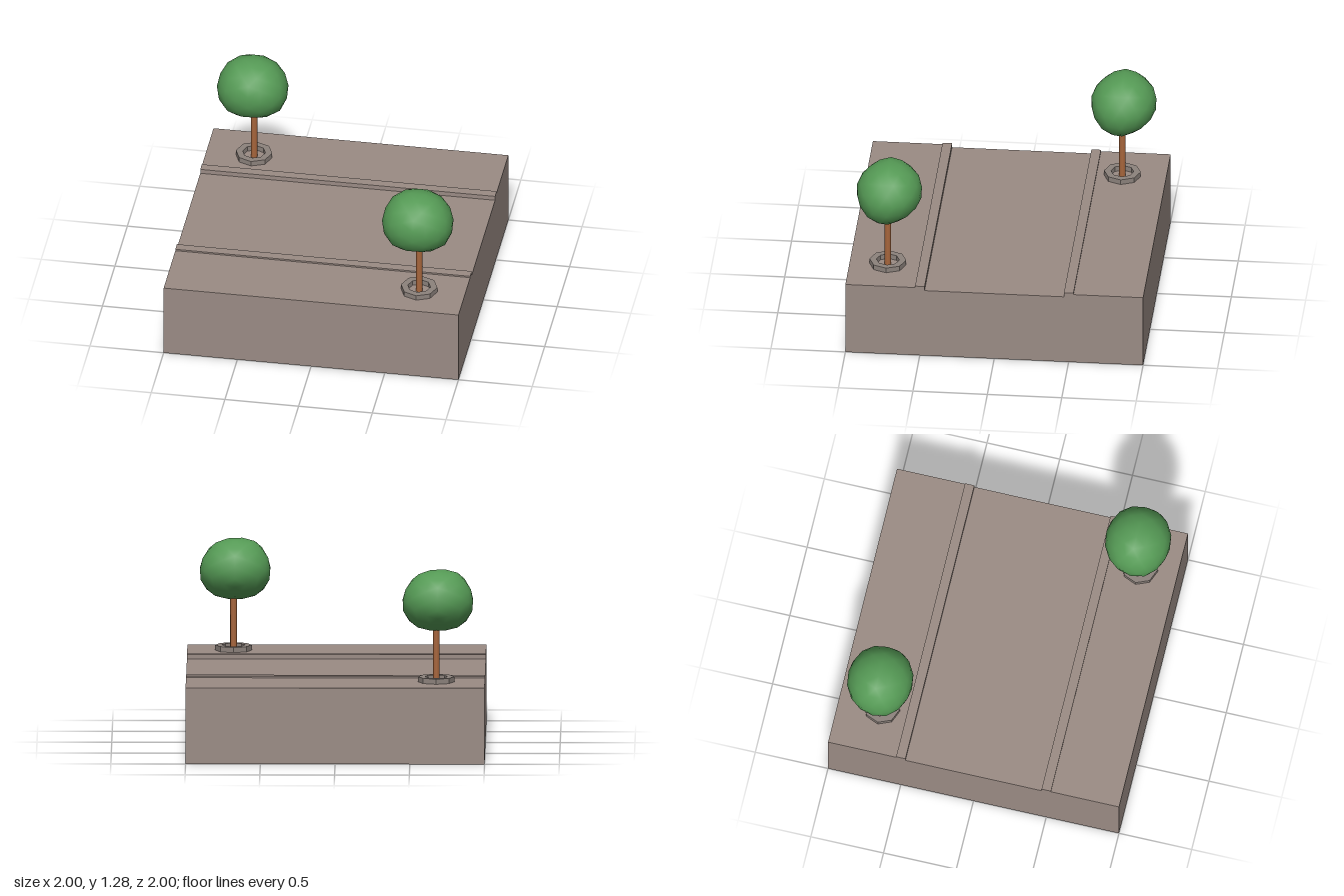
import * as THREE from 'three';
import { mergeVertices } from 'three/addons/utils/BufferGeometryUtils.js';

const paving = new THREE.MeshStandardMaterial({ color: 0x9a8b84, side: THREE.DoubleSide });
paving.name = 'paving';
const stone = new THREE.MeshStandardMaterial({ color: 0x8c827c });
stone.name = 'planter stone';
const bark = new THREE.MeshStandardMaterial({ color: 0xa8663c });
bark.name = 'bark';
const leaf = new THREE.MeshStandardMaterial({ color: 0x559a55 });
leaf.name = 'leaf';

const WALK = 0.515;

function named(name, geometry, material) {
  const mesh = new THREE.Mesh(geometry, material);
  mesh.name = name;
  return mesh;
}

// Block section as [z, y]: wall, pavement, kerb, road and the same mirrored
const half = [[1, 0], [1, WALK], [0.532, WALK], [0.532, 0.526], [0.468, 0.526], [0.468, 0.495]];
const section = [...half, ...half.map(([z, y]) => [-z, y]).reverse()];

// Hollow block, open underneath
function createBlock() {
  const block = new THREE.Group();
  block.name = 'streetBlock';
  const pos = [];
  for (let i = 0; i < section.length - 1; i++) {
    const [z0, y0] = section[i], [z1, y1] = section[i + 1];
    pos.push(-1, y0, z0, 1, y0, z0, 1, y1, z1, -1, y0, z0, 1, y1, z1, -1, y1, z1);
  }
  const shell = new THREE.BufferGeometry();
  shell.setAttribute('position', new THREE.Float32BufferAttribute(pos, 3));
  shell.computeVertexNormals();
  block.add(named('roadAndPavement', shell, paving));

  const outline = new THREE.Shape(section.map(([z, y]) => new THREE.Vector2(-z, y)));
  for (const side of [-1, 1]) {
    const end = new THREE.ShapeGeometry(outline).rotateY(side * Math.PI / 2).translate(side, 0, 0);
    block.add(named(side > 0 ? 'leftEndWall' : 'rightEndWall', end, paving));
  }
  return block;
}

// Eight-sided ring with a corner on each axis
function octagon(radius) {
  return Array.from({ length: 8 }, (_, i) => {
    const a = i * Math.PI / 4;
    return new THREE.Vector2(radius * Math.cos(a), radius * Math.sin(a));
  });
}

function createPlanter() {
  const ring = new THREE.Shape(octagon(0.123));
  ring.holes.push(new THREE.Path(octagon(0.077)));
  return new THREE.ExtrudeGeometry(ring, { depth: 0.035, bevelEnabled: false }).rotateX(-Math.PI / 2);
}

// Lumpy crown: a ball with soft bulges and dents, [x, y, z, amount]
const lumps = [
  [-0.62, -0.7, 0.35, 0.1], [0.65, -0.7, 0.3, 0.09], [-0.6, 0.8, 0, 0.06],
  [0, -0.77, -0.64, -0.13], [0.9, 0.42, 0, -0.05], [0, 0.87, 0.5, -0.03], [-0.85, 0.5, 0, -0.04],
];

function createCrown() {
  let ball = new THREE.IcosahedronGeometry(1, 2);
  ball.deleteAttribute('normal');
  ball.deleteAttribute('uv');
  ball = mergeVertices(ball);
  const p = ball.attributes.position;
  const v = new THREE.Vector3(), d = new THREE.Vector3();
  for (let i = 0; i < p.count; i++) {
    v.fromBufferAttribute(p, i).normalize();
    let r = 1.01;
    for (const [x, y, z, amount] of lumps) {
      r += amount * Math.exp(-5 * v.distanceToSquared(d.set(x, y, z).normalize()));
    }
    p.setXYZ(i, v.x * r * 0.24, v.y * r * 0.207, v.z * r * 0.22);
  }
  ball.computeVertexNormals();
  return ball;
}

export function createModel() {
  const model = new THREE.Group();
  model.name = 'streetWithTrees';
  model.add(createBlock());

  const planter = createPlanter();
  const trunk = new THREE.CylinderGeometry(0.022, 0.022, 0.45, 8);
  const crown = createCrown();
  for (const [name, x, z] of [['frontTree', 0.69, 0.743], ['backTree', -0.675, -0.706]]) {
    const tree = new THREE.Group();
    tree.name = name;
    tree.position.set(x, WALK, z);
    const stem = named('trunk', trunk, bark);
    stem.position.y = 0.225;
    const top = named('crown', crown, leaf);
    top.position.set(-0.01, 0.553, -0.01);
    tree.add(named('planterRing', planter, stone), stem, top);
    model.add(tree);
  }
  return model;
}
